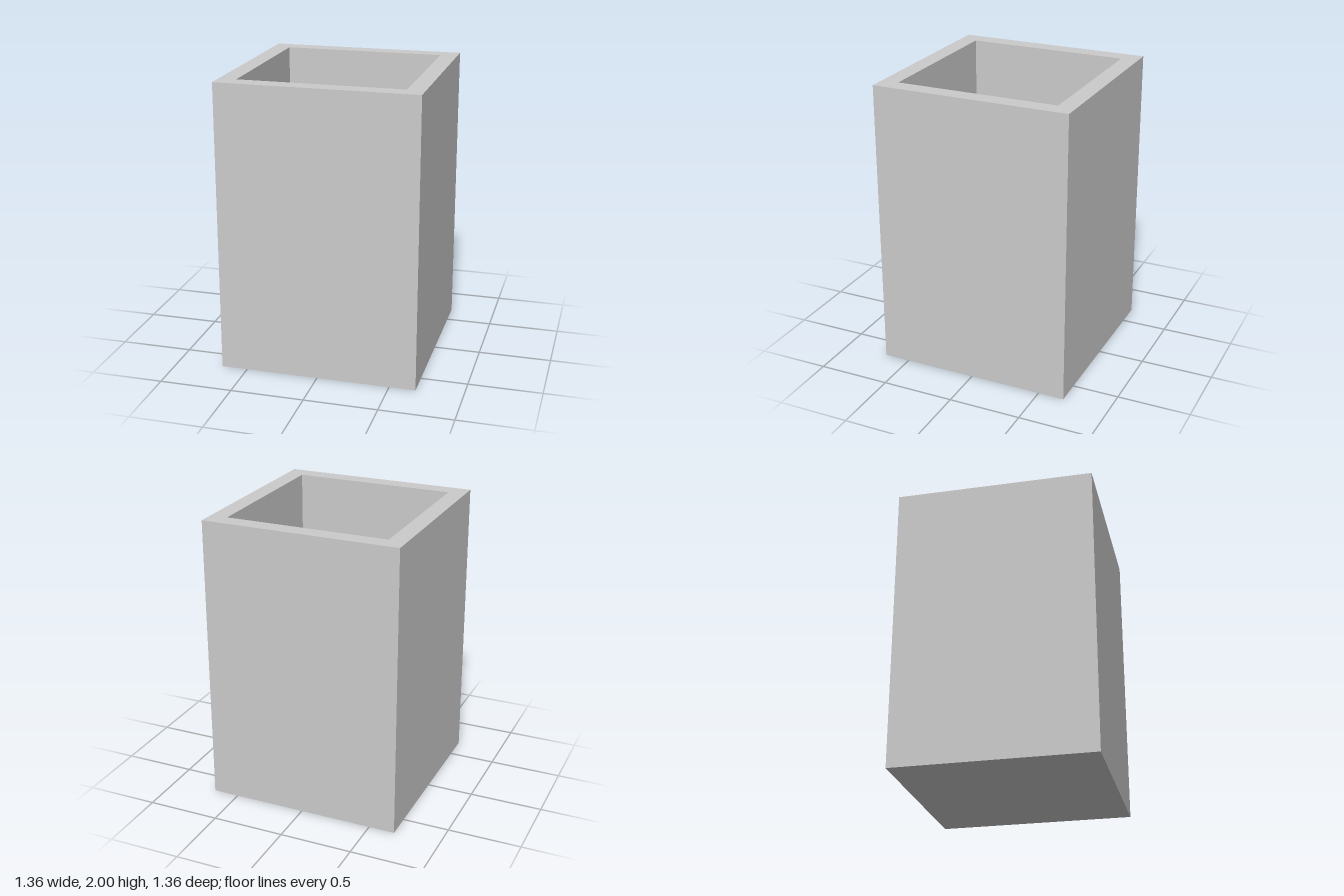
import * as THREE from 'three';

const HEIGHT = 2;
const OUTER = 0.68; // half width outside
const INNER = 0.56; // half width of the cavity
const FLOOR = OUTER - INNER; // floor as thick as the walls

export function createModel() {
  const group = new THREE.Group();
  group.name = 'squareContainer';

  // Closed wall section, from the underside up, over the rim and down to the floor
  const profile = [
    [0, 0], [OUTER, 0], [OUTER, HEIGHT],
    [INNER, HEIGHT], [INNER, FLOOR], [0, FLOOR],
  ].map(([half, y]) => new THREE.Vector2(half * Math.SQRT2, y));

  // Four-sided lathe, turned so its sides face the axes
  const geometry = new THREE.LatheGeometry(profile, 4, Math.PI / 4).toNonIndexed();
  geometry.computeVertexNormals();

  const body = new THREE.Mesh(
    geometry,
    new THREE.MeshStandardMaterial({ color: 0xcccccc, flatShading: true })
  );
  body.name = 'containerBody';
  group.add(body);
  return group;
}
